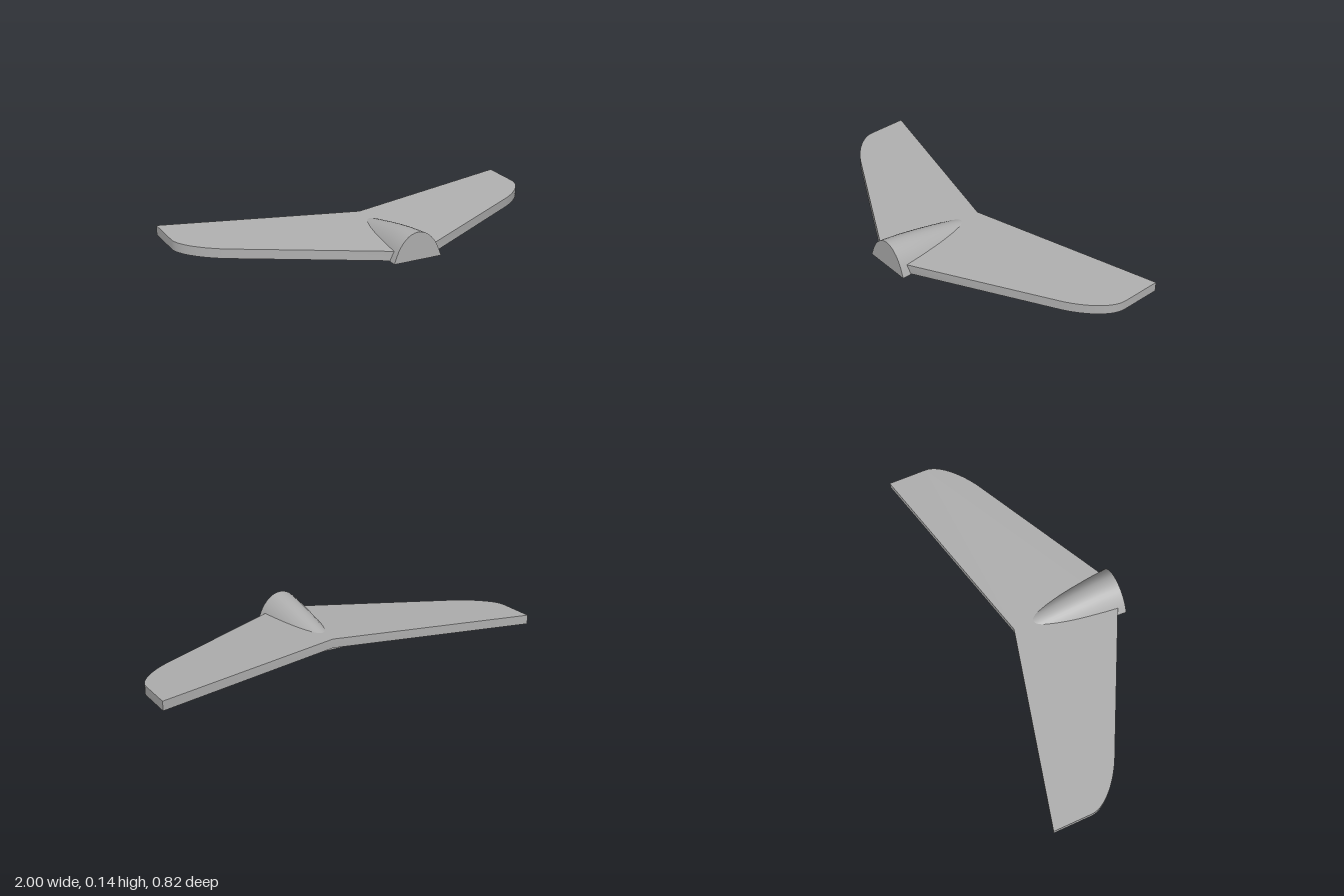
import * as THREE from 'three';
import { toCreasedNormals } from 'three/addons/utils/BufferGeometryUtils.js';

const grey = new THREE.MeshStandardMaterial({ color: 0xb0b0b0 });
grey.name = 'foam grey';

function part(name, geometry) {
  const mesh = new THREE.Mesh(geometry, grey);
  mesh.name = name;
  return mesh;
}

// Swept slab wing with rounded tips, rising gently toward the back
function wingGeometry() {
  const s = new THREE.Shape();
  s.moveTo(-0.105, -0.372);
  s.lineTo(0.105, -0.372);
  s.lineTo(0.8, -0.01);
  s.bezierCurveTo(0.89, 0.037, 1, 0.13, 1, 0.21);
  s.lineTo(1, 0.41);
  s.lineTo(0, 0.157);
  s.lineTo(-1, 0.41);
  s.lineTo(-1, 0.21);
  s.bezierCurveTo(-1, 0.13, -0.89, 0.037, -0.8, -0.01);
  s.closePath();
  const g = new THREE.ExtrudeGeometry(s, { depth: 0.048, bevelEnabled: false, curveSegments: 14 });
  g.rotateX(-Math.PI / 2);
  const p = g.attributes.position;
  for (let i = 0; i < p.count; i++) {
    p.setY(i, p.getY(i) + 0.002 + (0.372 - p.getZ(i)) * 0.068);
  }
  return toCreasedNormals(g, 0.5);
}

// Bell-shaped cross-sections lofted from the blunt nose to the flat back end
function bodyGeometry() {
  // z, half width, height
  const stations = [
    [0.41, 0.131, 0.14], [0.3, 0.122, 0.133], [0.2, 0.113, 0.121],
    [0.1, 0.102, 0.106], [0, 0.088, 0.089], [-0.055, 0.085, 0.078], [-0.1, 0.085, 0.068],
  ];
  const half = [
    [1, 0], [0.92, 0.2], [0.83, 0.4], [0.72, 0.58], [0.58, 0.74],
    [0.41, 0.88], [0.28, 0.945], [0.14, 0.986],
  ];
  const section = [...half, [0, 1], ...half.map(([x, y]) => [-x, y]).reverse()];
  const n = section.length;
  const pos = [];
  const index = [];
  for (const [z, w, h] of stations) {
    for (const [x, y] of section) pos.push(x * w, y * h, z);
  }
  for (let s = 0; s < stations.length - 1; s++) {
    for (let j = 0; j < n; j++) {
      const a = s * n + j, b = s * n + (j + 1) % n;
      index.push(a, a + n, b, b, a + n, b + n);
    }
  }
  const last = (stations.length - 1) * n;
  for (let j = 1; j < n - 1; j++) {
    index.push(0, j, j + 1);
    index.push(last, last + j + 1, last + j);
  }
  const g = new THREE.BufferGeometry();
  g.setAttribute('position', new THREE.Float32BufferAttribute(pos, 3));
  g.setIndex(index);
  return toCreasedNormals(g, 0.6);
}

// Box standing on y = 0 and reaching up into the wing
function underBlock(name, x0, x1, z0, z1) {
  const mesh = part(name, new THREE.BoxGeometry(x1 - x0, 0.04, z1 - z0));
  mesh.position.set((x0 + x1) / 2, 0.02, (z0 + z1) / 2);
  return mesh;
}

export function createModel() {
  const model = new THREE.Group();
  model.name = 'flyingWing';
  model.add(part('wing', wingGeometry()), part('body', bodyGeometry()));

  // Underside spar and small mounting blocks, mirrored
  for (const side of [1, -1]) {
    const label = side > 0 ? 'left' : 'right';
    const add = (name, a, b, z0, z1) =>
      model.add(underBlock(label + name, Math.min(side * a, side * b), Math.max(side * a, side * b), z0, z1));
    add('Spar', 0.05, 0.335, 0.035, 0.067);
    add('FrontBlock', 0.19, 0.23, 0.12, 0.172);
    add('BackBlock', 0.19, 0.23, -0.06, -0.02);
  }
  return model;
}
